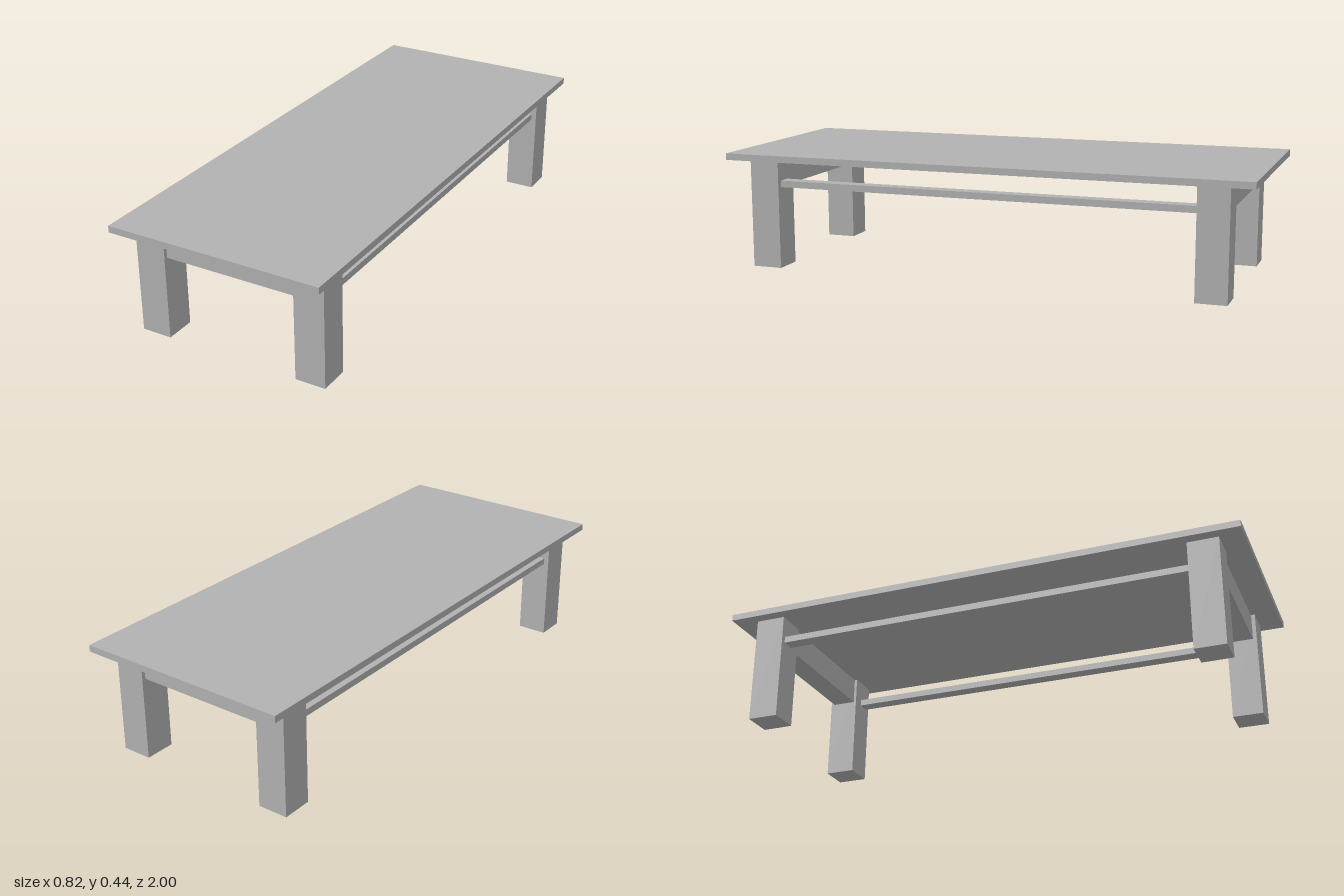
import * as THREE from 'three';

export function createModel() {
  const table = new THREE.Group();
  table.name = 'lowTable';
  const grey = new THREE.MeshStandardMaterial({ color: 0xb2b2b2 });
  grey.name = 'plain grey';

  // Box spanning the given size, standing on height y
  const addBox = (parent, name, w, h, d, x, y, z) => {
    const mesh = new THREE.Mesh(new THREE.BoxGeometry(w, h, d), grey);
    mesh.name = name;
    mesh.position.set(x, y + h / 2, z);
    parent.add(mesh);
  };

  const legHeight = 0.412;
  addBox(table, 'tableTop', 0.82, 0.025, 2, 0, legHeight, 0);

  // The underframe sits very slightly off the centre of the top
  const frame = new THREE.Group();
  frame.name = 'underframe';
  frame.position.set(0.004, 0, 0.002);
  table.add(frame);

  for (const side of [-1, 1]) {
    const sideName = side > 0 ? 'left' : 'right';
    // Square legs
    for (const end of [-1, 1]) {
      const endName = end > 0 ? 'Front' : 'Back';
      addBox(frame, sideName + endName + 'Leg', 0.115, legHeight, 0.115, side * 0.3135, 0, end * 0.855);
    }
    // Long rail between the front and back legs
    addBox(frame, sideName + 'Rail', 0.05, 0.025, 1.596, side * 0.326, 0.31, 0);
  }

  // Short aprons between the left and right legs, set back from the leg faces
  for (const end of [-1, 1]) {
    addBox(frame, end > 0 ? 'frontApron' : 'backApron', 0.512, 0.101, 0.09, 0, 0.31, end * 0.853);
  }
  return table;
}
